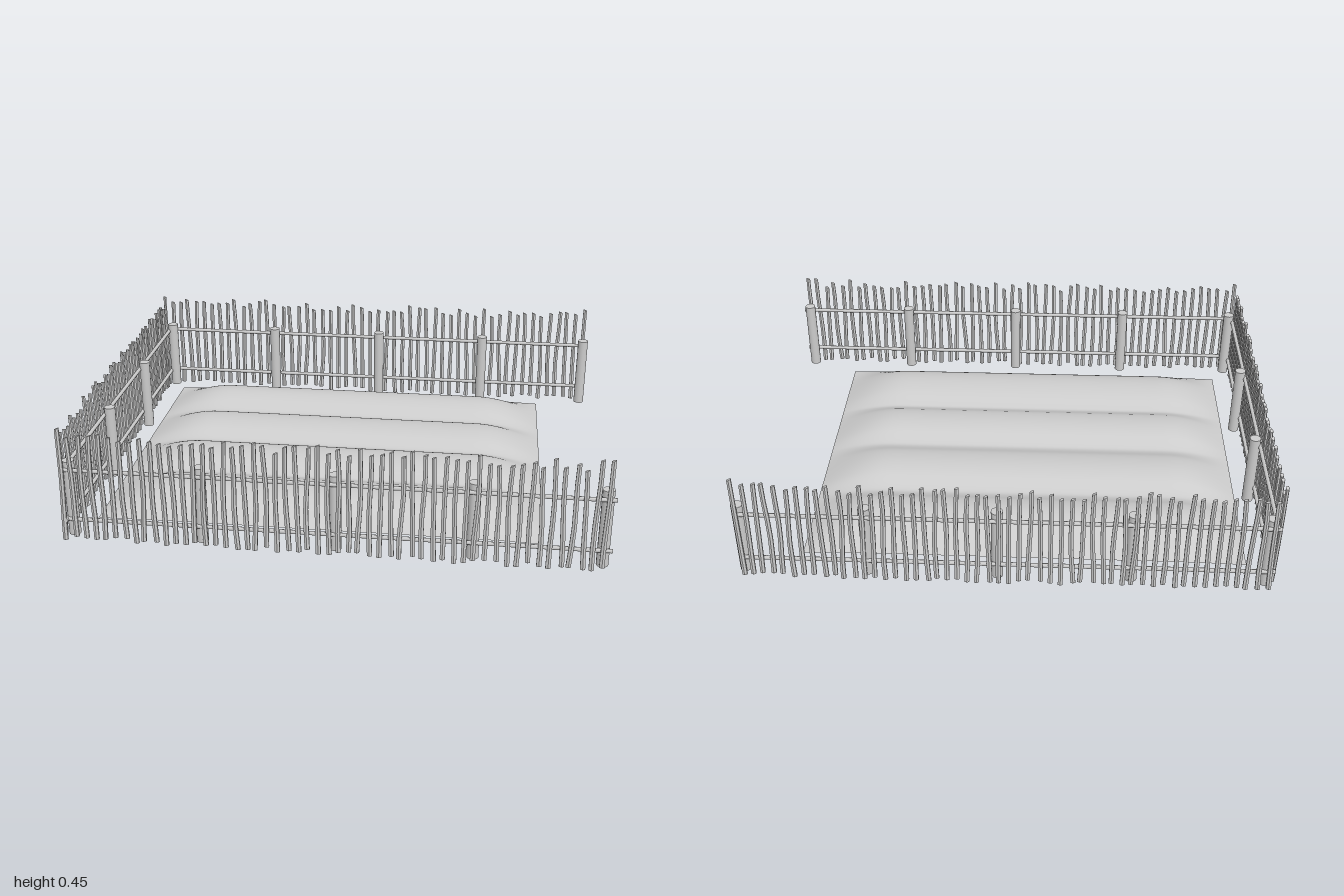
import * as THREE from 'three';
import { toCreasedNormals } from 'three/addons/utils/BufferGeometryUtils.js';

const grey = new THREE.MeshStandardMaterial({ color: 0xcccccc });
const sheetGrey = new THREE.MeshStandardMaterial({ color: 0xcccccc, side: THREE.DoubleSide });

// Small seeded generator for the irregular pickets
let seed = 7;
const rand = (a, b) => {
  seed = (seed * 16807) % 2147483647;
  return a + (b - a) * seed / 2147483647;
};

function add(parent, name, geometry, x, y, z, material = grey) {
  const mesh = new THREE.Mesh(geometry, material);
  mesh.name = name;
  mesh.position.set(x, y, z);
  parent.add(mesh);
  return mesh;
}

// Crooked stake: a six-sided pole bent along its height
function picketGeometry(bottom, top) {
  const h = top - bottom;
  const g = new THREE.CylinderGeometry(0.009, 0.0105, h, 6, 5);
  g.scale(1, 1, 0.75);
  const p = g.attributes.position;
  const lean = rand(-0.006, 0.006), bend = rand(-0.004, 0.004), phase = rand(0, 6);
  for (let i = 0; i < p.count; i++) {
    const t = p.getY(i) / h + 0.5;
    p.setX(i, p.getX(i) + lean * (2 * t - 1) + bend * Math.sin(t * 6 + phase));
    if (t > 0.99) p.setY(i, p.getY(i) + p.getX(i) * 0.4);
  }
  return toCreasedNormals(g, 0.6);
}

// Fence along local x, pickets on the local +z side and posts on the -z side
function makeFence(name, from, to, railFrom, railTo, posts) {
  const fence = new THREE.Group();
  fence.name = name;
  const count = Math.round((to - from) / 0.0375);
  for (let i = 0; i <= count; i++) {
    const bottom = rand(0.003, 0.025);
    const top = i === 0 ? 0.452 : rand(0.4, 0.44);
    const x = from + (to - from) * i / count;
    add(fence, 'picket', picketGeometry(bottom, top), x, (bottom + top) / 2, 0.013);
  }
  for (const y of [0.083, 0.284]) {
    const rail = new THREE.CylinderGeometry(0.008, 0.008, railTo - railFrom, 8);
    rail.rotateZ(Math.PI / 2);
    add(fence, 'rail', rail, (railFrom + railTo) / 2, y, 0);
  }
  for (const x of posts) {
    add(fence, 'post', new THREE.CylinderGeometry(0.022, 0.022, 0.3, 14), x, 0.165, -0.02);
  }
  return fence;
}

// Plot of soil: four rounded ridges along x, sloping down at every edge
function makeSoil() {
  const profile = new THREE.CatmullRomCurve3([
    [-0.66, 0.03], [-0.6, 0.068], [-0.54, 0.099], [-0.47, 0.11], [-0.4, 0.098], [-0.35, 0.076], [-0.32, 0.068],
    [-0.29, 0.076], [-0.24, 0.1], [-0.17, 0.11], [-0.09, 0.1], [-0.03, 0.075], [-0.005, 0.07],
    [0.02, 0.078], [0.07, 0.101], [0.135, 0.11], [0.21, 0.1], [0.26, 0.076], [0.285, 0.068],
    [0.31, 0.076], [0.37, 0.1], [0.45, 0.11], [0.52, 0.099], [0.58, 0.066], [0.63, 0.03],
  ].map(([z, y]) => new THREE.Vector3(0, y, z)));
  const rows = 96, cols = 48;
  const line = profile.getPoints(rows);
  const g = new THREE.PlaneGeometry(1.67, 1.29, cols, rows);
  g.rotateX(-Math.PI / 2);
  const p = g.attributes.position;
  for (let r = 0; r <= rows; r++) {
    for (let c = 0; c <= cols; c++) {
      const i = r * (cols + 1) + c;
      const x = p.getX(i);
      const t = Math.min(1, (0.835 - Math.abs(x)) / 0.27);
      const rise = Math.sin(t * Math.PI / 2);
      p.setXYZ(i, x - 0.073, 0.025 + (line[r].y - 0.025) * rise, line[r].z);
    }
  }
  g.computeVertexNormals();
  return g;
}

export function createModel() {
  const model = new THREE.Group();
  model.name = 'fencedPlot';

  add(model, 'soilBed', makeSoil(), 0, 0, 0, sheetGrey);

  // Front fence, pickets facing +z
  const front = makeFence('frontFence', -0.985, 0.965, -0.99, 0.995, [-0.965, -0.48, 0.012, 0.507, 0.965]);
  front.position.z = 0.748;

  // Back fence, turned so its pickets face -z
  const back = makeFence('backFence', -0.96, 0.97, -0.965, 0.995, [-0.96, -0.5, -0.02, 0.473, 0.965]);
  back.rotation.y = Math.PI;
  back.position.z = -0.76;

  // Side fence, pickets facing -x
  const side = makeFence('sideFence', -0.735, 0.735, -0.765, 0.765, [-0.247, 0.247]);
  side.rotation.y = -Math.PI / 2;
  side.position.x = -0.982;

  model.add(front, back, side);
  return model;
}
